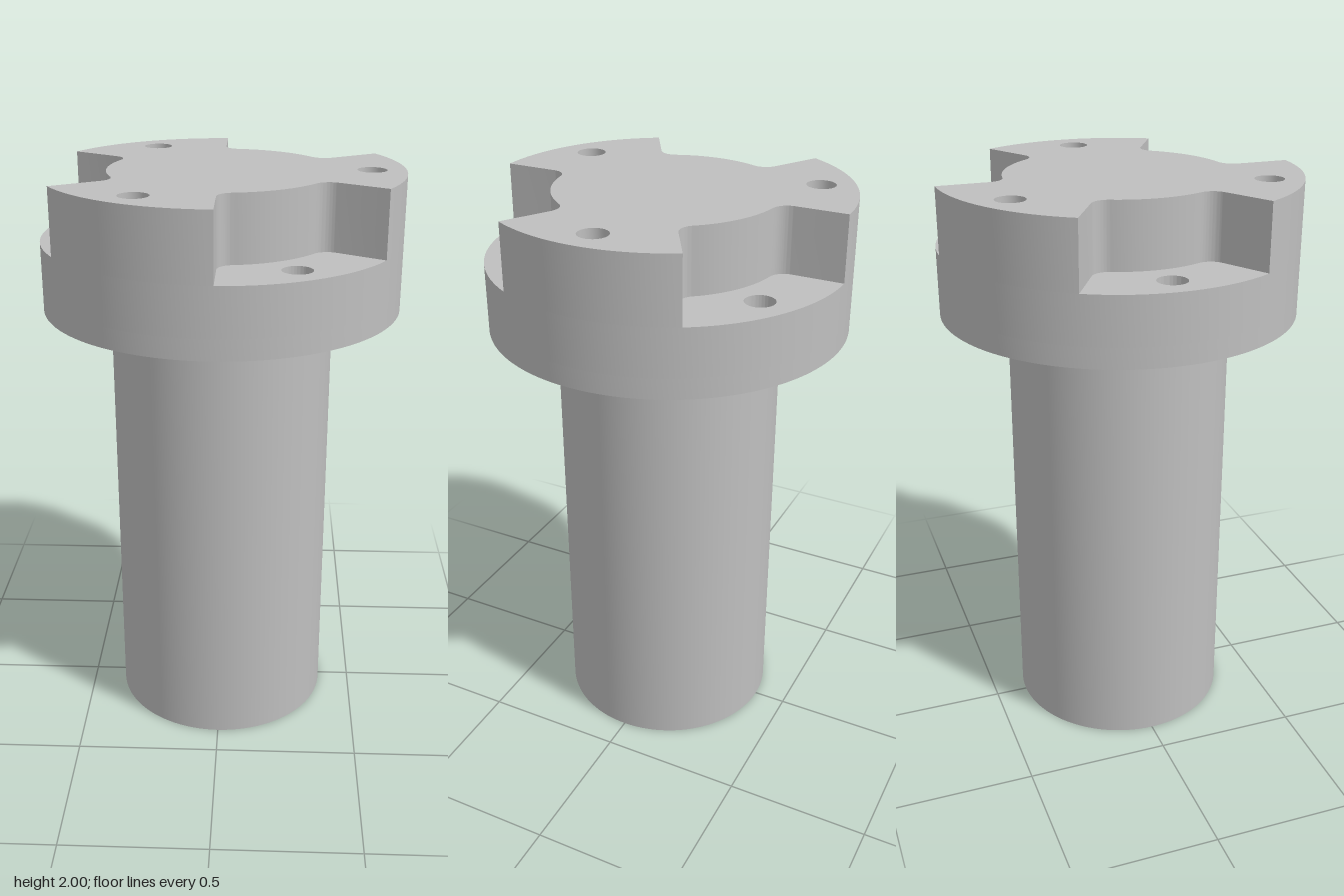
import * as THREE from 'three';
import { toCreasedNormals } from 'three/addons/utils/BufferGeometryUtils.js';

const RAD = Math.PI / 180;
const FLANGE_R = 0.615, HUB_R = 0.385, SHAFT_R = 0.385, BOLT_CIRCLE = 0.5;

const disc = (r) => new THREE.Shape().absarc(0, 0, r, 0, Math.PI * 2, false);

// Round hole or hexagonal pocket on the bolt circle
function boltHole(deg, r, sides) {
  const x = BOLT_CIRCLE * Math.cos(deg * RAD), y = BOLT_CIRCLE * Math.sin(deg * RAD);
  const path = new THREE.Path();
  if (!sides) return path.absarc(x, y, r, 0, Math.PI * 2, true);
  const pts = [];
  for (let i = 0; i < sides; i++) {
    const a = -i * 2 * Math.PI / sides;
    pts.push(new THREE.Vector2(x + r * Math.cos(a), y + r * Math.sin(a)));
  }
  return path.setFromPoints(pts).closePath();
}

// Three jaws joined by a hub, with filleted notches between them
function jawShape() {
  const f = 0.055, c = HUB_R + f, d = Math.asin(f / c);
  const s = new THREE.Shape();
  for (let k = 0; k < 3; k++) {
    const a = (120 * k + 30) * RAD, b = a + 60 * RAD;
    s.absarc(0, 0, FLANGE_R, a - 60 * RAD, a, false);
    s.absarc(c * Math.cos(a + d), c * Math.sin(a + d), f, a - Math.PI / 2, a + d - Math.PI, true);
    s.absarc(0, 0, HUB_R, a + d, b - d, false);
    s.absarc(c * Math.cos(b - d), c * Math.sin(b - d), f, b - d + Math.PI, b + Math.PI / 2, true);
  }
  return s;
}

export function createModel() {
  const group = new THREE.Group();
  const steel = new THREE.MeshStandardMaterial({ color: 0xbfbfbf });
  steel.name = 'grey steel';

  function addLayer(name, shape, y0, y1, curveSegments) {
    const raw = new THREE.ExtrudeGeometry(shape, { depth: y1 - y0, bevelEnabled: false, curveSegments });
    raw.rotateX(-Math.PI / 2).translate(0, y0, 0);
    const mesh = new THREE.Mesh(toCreasedNormals(raw, 0.4), steel);
    mesh.name = name;
    group.add(mesh);
  }

  // Shaft with a bore and a keyway on the -x side
  const shaft = disc(SHAFT_R);
  const boreR = 0.215, keyHalf = 0.065, keyX = -0.275;
  const k = Math.asin(keyHalf / boreR);
  const bore = new THREE.Path();
  bore.absarc(0, 0, boreR, Math.PI - k, -Math.PI + k, true);
  bore.lineTo(keyX, -keyHalf);
  bore.lineTo(keyX, keyHalf);
  bore.closePath();
  shaft.holes.push(bore);
  addLayer('shaft', shaft, 0, 1.54, 48);

  // Flange: nut pockets below, bolt holes above
  const pockets = disc(FLANGE_R), flange = disc(FLANGE_R);
  for (let deg = 0; deg < 360; deg += 60) {
    pockets.holes.push(boltHole(deg, 0.081, 6));
    flange.holes.push(boltHole(deg, 0.05));
  }
  addLayer('flangeNutPockets', pockets, 1.54, 1.61, 72);
  addLayer('flange', flange, 1.61, 1.775, 72);

  // Raised jaws, each with one bolt hole
  const jaws = jawShape();
  for (let deg = 0; deg < 360; deg += 120) jaws.holes.push(boltHole(deg, 0.05));
  addLayer('jaws', jaws, 1.775, 2, 12);

  return group;
}
